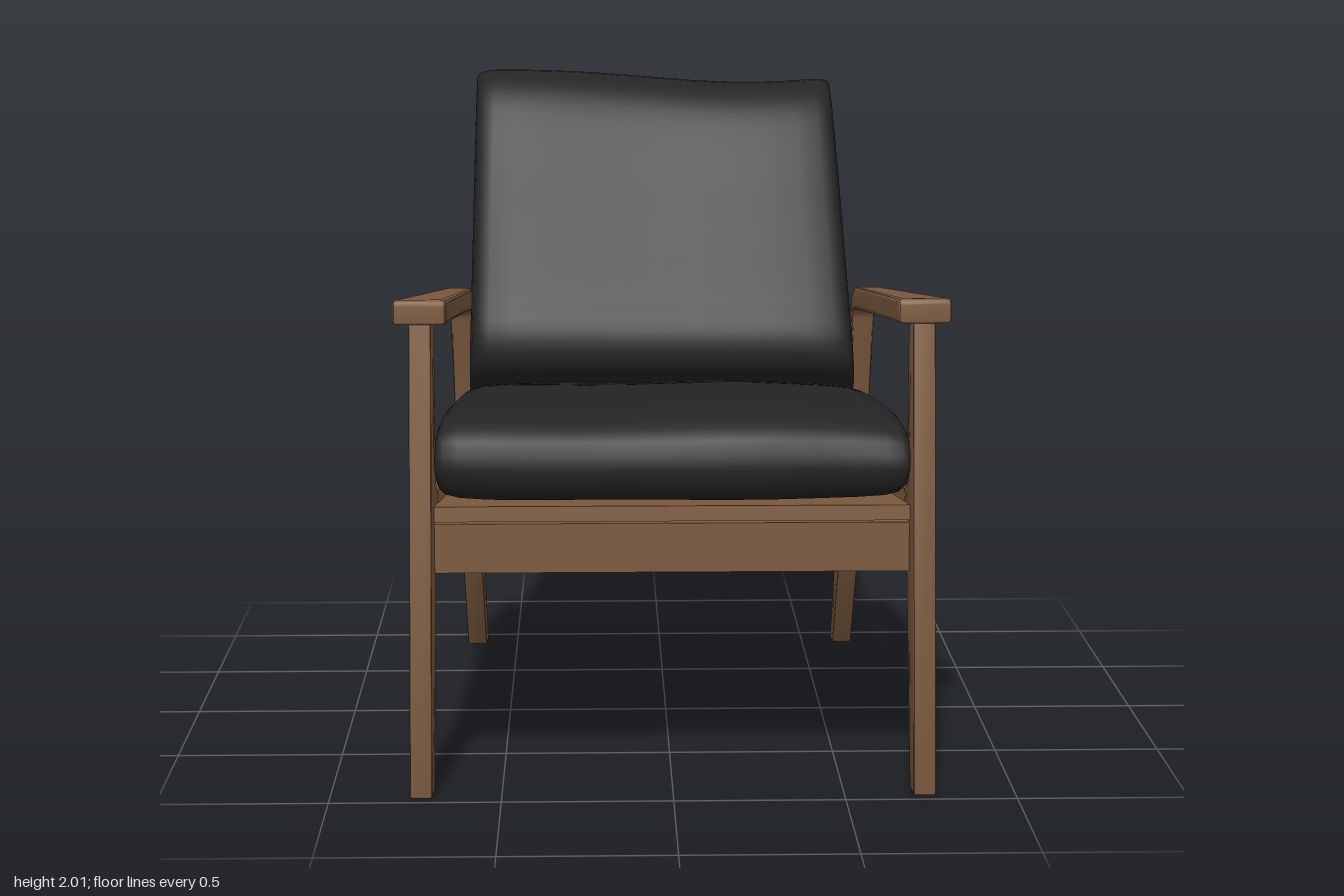
import * as THREE from 'three';
import { toCreasedNormals } from 'three/addons/utils/BufferGeometryUtils.js';

const wood = new THREE.MeshStandardMaterial({ color: 0x7d5b3f });
wood.name = 'walnut wood';
const fabric = new THREE.MeshStandardMaterial({ color: 0x242424 });
fabric.name = 'black upholstery';

// The sides splay: their centre plane lies further out towards the front
const sideX = (z) => 0.6836 + 0.0524 * z;

// Closed outline from [z, y, cornerRadius] points
function roundedOutline(path, points) {
  const n = points.length;
  points.forEach(([x, y, r = 0.008], i) => {
    const corner = new THREE.Vector2(x, y);
    const towards = (q) => new THREE.Vector2(q[0], q[1]).sub(corner).setLength(r).add(corner);
    const a = towards(points[(i + n - 1) % n]);
    const b = towards(points[(i + 1) % n]);
    if (i === 0) path.moveTo(a.x, a.y);
    else path.lineTo(a.x, a.y);
    path.quadraticCurveTo(x, y, b.x, b.y);
  });
  path.closePath();
  return path;
}

// Extrudes a side outline across x, then sets its splay and its width along z
function sidePiece(shape, side, thickness, bevel, widthAt) {
  let geo = new THREE.ExtrudeGeometry(shape, {
    depth: thickness - 2 * bevel, curveSegments: 8, bevelEnabled: true,
    bevelSize: bevel, bevelThickness: bevel, bevelOffset: -bevel, bevelSegments: 2,
  });
  geo.translate(0, 0, bevel - thickness / 2).rotateY(-Math.PI / 2);
  const p = geo.attributes.position;
  for (let i = 0; i < p.count; i++) {
    const z = p.getZ(i);
    p.setX(i, side * sideX(z) + p.getX(i) * widthAt(z) / thickness);
  }
  geo = toCreasedNormals(geo, 0.5);
  return new THREE.Mesh(geo, wood);
}

// Tapered flat board, running from its start along a direction in the zy plane
function board(w0, w1, length, thickness, y, z, angle) {
  const s = new THREE.Shape([
    new THREE.Vector2(-w0, 0), new THREE.Vector2(w0, 0),
    new THREE.Vector2(w1, length), new THREE.Vector2(-w1, length),
  ]);
  const geo = new THREE.ExtrudeGeometry(s, { depth: thickness, bevelEnabled: false });
  geo.rotateX(angle).translate(0, y, z);
  return new THREE.Mesh(geo, wood);
}

// Cushion: a side profile lofted across x, thinning towards both ends
function cushion(profile, axis, place) {
  const curve = new THREE.CatmullRomCurve3(
    profile.map(([z, y]) => new THREE.Vector3(0, y, z)), true, 'centripetal');
  const ring = curve.getSpacedPoints(72).slice(0, 72);
  const centre = ring.reduce((c, p) => c.add(p), new THREE.Vector3()).divideScalar(72);
  const dir = new THREE.Vector3(0, axis[1], axis[0]).normalize();
  const normal = new THREE.Vector3(0, dir.z, -dir.y);
  // [position across, thickness, length]
  const half = [[1, 0, 0.8], [1, 0.35, 0.94], [0.997, 0.58, 0.965], [0.985, 0.75, 0.98],
    [0.96, 0.86, 0.99], [0.9, 0.93, 1], [0.78, 0.97, 1], [0.6, 0.99, 1], [0.4, 1, 1], [0.2, 1, 1]];
  const sections = [...half.map(([s, t, l]) => [-s, t, l]), [0, 1, 1], ...half.slice().reverse()];
  const pos = [];
  const index = [];
  sections.forEach(([s, t, l], j) => {
    ring.forEach((p, i) => {
      const d = p.clone().sub(centre);
      const q = centre.clone()
        .addScaledVector(dir, d.dot(dir) * l).addScaledVector(normal, d.dot(normal) * t);
      pos.push(...place(s, q.y, q.z));
      if (j === 0) return;
      const a = (j - 1) * 72 + i;
      const b = (j - 1) * 72 + (i + 1) % 72;
      index.push(a, b, a + 72, b, b + 72, a + 72);
    });
  });
  const geo = new THREE.BufferGeometry();
  geo.setAttribute('position', new THREE.Float32BufferAttribute(pos, 3));
  geo.setIndex(index);
  // Face outwards whichever way the profile runs
  let area = 0;
  ring.forEach((p, i) => {
    const q = ring[(i + 1) % 72];
    area += p.y * q.z - q.y * p.z;
  });
  if (area < 0) geo.setIndex(index.reverse());
  geo.computeVertexNormals();
  return new THREE.Mesh(geo, fabric);
}

export function createModel() {
  const model = new THREE.Group();
  const add = (name, mesh) => {
    mesh.name = name;
    model.add(mesh);
  };

  // Side frames: legs, rail and arm support round an open centre
  const frame = roundedOutline(new THREE.Shape(), [
    [0.965, 0], [0.832, 1.41], [-0.41, 1.3, 0.09], [-0.49, 1.23, 0.04], [-0.6, 0.955, 0.05],
    [-0.93, 0], [-0.86, 0], [-0.612, 0.535, 0.08], [0.757, 0.69, 0.07], [0.885, 0],
  ]);
  frame.holes.push(roundedOutline(new THREE.Path(), [
    [0.748, 1.365, 0.015], [0.752, 0.865, 0.08], [-0.515, 0.735, 0.03], [-0.405, 1.25, 0.04],
  ]));

  // Armrests: wide at the front, narrowing and bending down at the back
  const arm = roundedOutline(new THREE.Shape(), [
    [0.852, 1.375], [0.848, 1.447, 0.02], [-0.43, 1.317, 0.1], [-0.6, 0.955],
    [-0.49, 0.9], [-0.405, 1.247, 0.04],
  ]);
  const armWidth = (z) => 0.068 + 0.087 * Math.max(0, (z + 0.5) / 1.35);

  for (const side of [1, -1]) {
    const label = side > 0 ? 'left' : 'right';
    add(label + 'SideFrame', sidePiece(frame, side, 0.065, 0.006, () => 0.065));
    add(label + 'Armrest', sidePiece(arm, side, 0.1, 0.01, armWidth));
  }

  // Front rail, sloping seat board and tapered back panel
  const rail = new THREE.Mesh(new THREE.BoxGeometry(1.39, 0.146, 0.045), wood);
  rail.position.set(0, 0.71, 0.79);
  add('frontRail', rail);
  add('seatBoard', board(0.627, 0.694, 1.325, 0.045, 0.7, -0.5, Math.atan2(1, 0.103)));
  add('backPanel', board(0.622, 0.42, 1.1, 0.03, 0.68, -0.467, Math.atan2(-0.44, 1)));

  // Seat cushion
  add('seatCushion', cushion([
    [0.91, 1.0], [0.86, 1.07], [0.72, 1.105], [0.3, 1.09], [-0.1, 1.05], [-0.4, 0.99],
    [-0.49, 0.92], [-0.5, 0.76], [-0.44, 0.742], [0.2, 0.806], [0.75, 0.85], [0.87, 0.87], [0.91, 0.93],
  ], [1, 0.1], (s, y, z) => [
    s * (0.645 + 0.05 * z), y + 0.006 * Math.sin(5 * s) * Math.max(0, y - 0.9) * 5,
    z + (z > 0.8 ? 0.008 * Math.sin(6 * s) : 0),
  ]));

  // Back cushion, slumped a little lower on its left side
  add('backCushion', cushion([
    [-0.23, 1.09], [-0.23, 1.19], [-0.29, 1.3], [-0.4, 1.53], [-0.51, 1.76], [-0.62, 1.93],
    [-0.71, 1.99], [-0.8, 2.0], [-0.9, 1.95], [-0.95, 1.86], [-0.88, 1.74], [-0.7, 1.34],
    [-0.53, 0.97], [-0.44, 0.94], [-0.32, 1.0],
  ], [-0.42, 1], (s, y, z) => {
    const up = Math.max(0, y - 1);
    const width = s < 0 ? 0.635 - 0.02 * up : 0.63 - 0.06 * up;
    return [s * width, y - 0.02 * up * (1 + Math.sin(2.4 * s)) + 0.015 * up * s * s,
      z - 0.012 * up * Math.cos(4 * s + 1)];
  }));

  return model;
}
